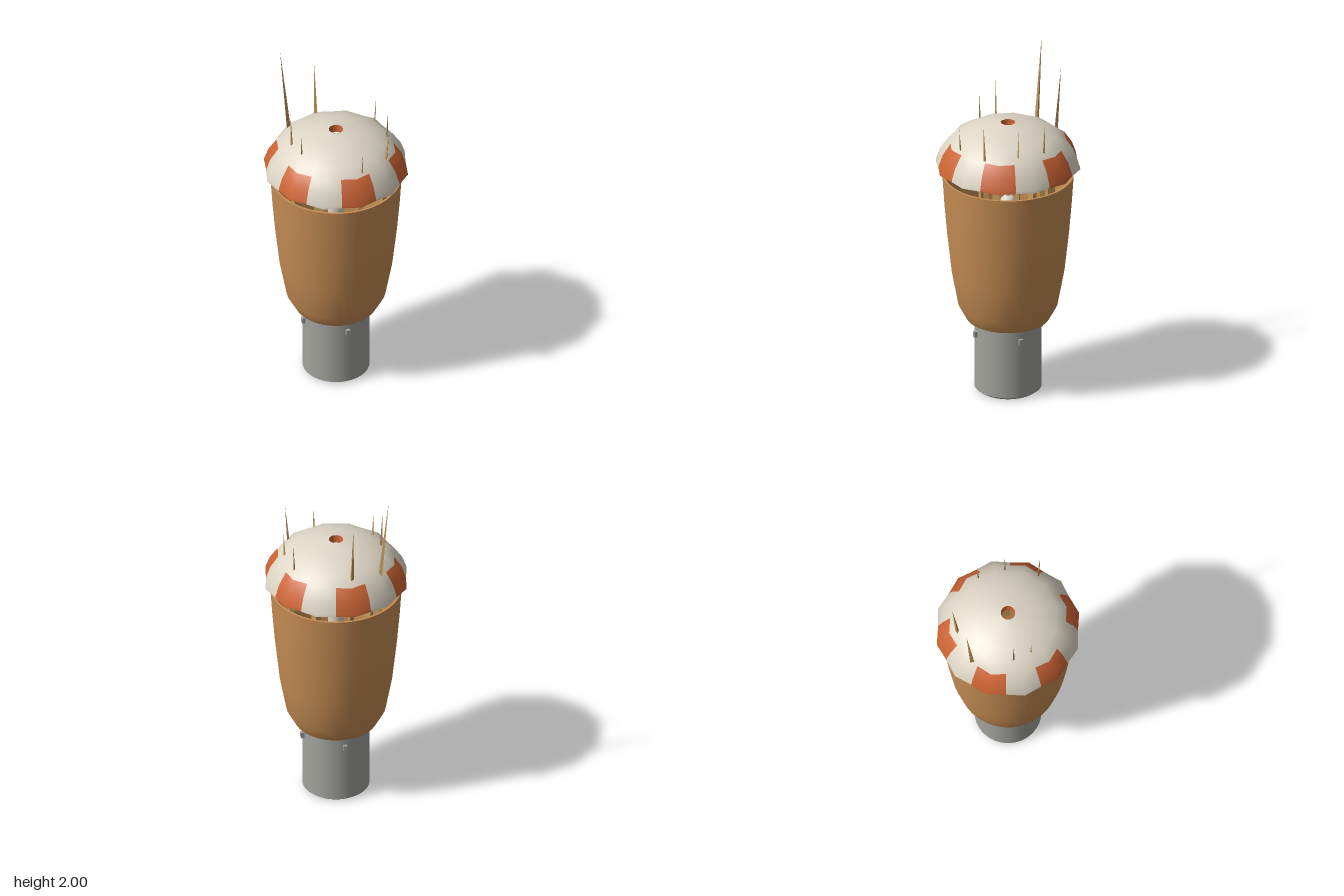
import * as THREE from 'three';

const mat = (name, color, side = THREE.FrontSide) => {
  const m = new THREE.MeshStandardMaterial({ color, side });
  m.name = name;
  return m;
};

export function createModel() {
  const group = new THREE.Group();
  const cream = mat('cream', 0xddd5c5);
  const orange = mat('orange', 0xcc6434, THREE.DoubleSide);
  const brown = mat('brown', 0xc88e54);
  const grey = mat('grey', 0xa2a29d);
  const tan = mat('tan', 0xc0975a);
  tan.flatShading = true;

  const add = (name, geometry, material, parent = group) => {
    const mesh = new THREE.Mesh(geometry, material);
    mesh.name = name;
    parent.add(mesh);
    return mesh;
  };
  const lathe = (points, segments) =>
    new THREE.LatheGeometry(points.map(([r, y]) => new THREE.Vector2(r, y)), segments);

  // Cylindrical foot with a small bevel
  add('foot', lathe([[0, 0.005], [0.165, 0.005]], 40), grey);
  add('footBevel', lathe([[0.165, 0.005], [0.185, 0.02]], 40), grey);
  add('footWall', lathe([[0.185, 0.02], [0.185, 0.46]], 40), grey);

  // Four small pegs around the foot
  for (let i = 0; i < 4; i++) {
    const a = Math.PI / 4 + i * Math.PI / 2;
    const peg = add('peg', new THREE.BoxGeometry(0.022, 0.034, 0.03), grey);
    peg.position.set(Math.sin(a) * 0.187, 0.358, Math.cos(a) * 0.187);
    peg.rotation.y = a;
  }

  // Open bowl: underside, outer wall, rim and inner wall
  const outer = [[0.23, 0.437], [0.275, 0.52], [0.312, 0.72], [0.337, 0.95], [0.352, 1.13], [0.363, 1.3]];
  const inner = outer.map(([r, y]) => [r - 0.012, Math.max(y, 0.45)]).reverse();
  add('bowlUnderside', lathe([[0.18, 0.43], [0.205, 0.43], [0.23, 0.437]], 48), brown);
  add('bowlWall', lathe(outer, 48), brown);
  add('bowlRim', lathe([[0.363, 1.3], [0.351, 1.3]], 48), brown);
  add('bowlInside', lathe([...inner, [0, 0.45]], 48), brown);

  // Twelve-sided dome; odd columns are the corners of the polygon
  const faceted = (points) => {
    const g = lathe(points, 24);
    const p = g.attributes.position;
    for (let i = 0; i < p.count; i++) {
      const column = Math.floor(i / points.length);
      const s = column % 2 ? 1.045 : 1;
      p.setXYZ(i, p.getX(i) * s, p.getY(i), p.getZ(i) * s);
    }
    return g;
  };
  const domeProfile = [[0.386, 1.355], [0.384, 1.37], [0.362, 1.433], [0.319, 1.5], [0.265, 1.542],
    [0.2, 1.576], [0.125, 1.601], [0.039, 1.614]];
  const dome = faceted(domeProfile);
  const perColumn = (domeProfile.length - 1) * 6;
  const bandIndices = 3 * 6;
  for (let i = 0; i < 24; i++) {
    // Alternate orange patches along the lower band
    dome.addGroup(i * perColumn, bandIndices, i % 4 >= 2 ? 1 : 0);
    dome.addGroup(i * perColumn + bandIndices, perColumn - bandIndices, 0);
  }
  add('dome', dome, [cream, orange]);
  const lining = domeProfile.map(([r, y], i) => [i === 7 ? r : r - 0.016, i < 1 ? y : y - 0.012]).reverse();
  add('domeLining', faceted(lining), cream);
  add('domeLip', faceted([[0.37, 1.355], [0.386, 1.355]]), cream);

  // Vent through the top of the dome
  const vent = add('vent', new THREE.CylinderGeometry(0.04, 0.035, 0.045, 12, 1, true), orange);
  vent.position.y = 1.592;

  // Central post with a rounded head, below the vent
  add('post', lathe([[0.045, 0.45], [0.045, 1.125], [0.04, 1.15], [0.024, 1.166], [0, 1.172]], 20), cream);
  const pin = add('postPin', new THREE.BoxGeometry(0.016, 0.008, 0.016), grey);
  pin.position.y = 1.173;

  // Tapered spikes rising from the bowl through the dome: tip x, y, z, lean
  const spikes = [
    [-0.362, 2.0, -0.046, 0.68], [-0.236, 1.885, -0.216, 0.74],
    [-0.203, 1.76, 0.162, 0.87], [-0.111, 1.7, 0.222, 0.87],
    [0.117, 1.685, -0.272, 0.87], [0.238, 1.685, -0.168, 0.87],
    [0.25, 1.64, 0.185, 0.87], [0.327, 1.72, 0.005, 0.77],
  ];
  const up = new THREE.Vector3(0, 1, 0);
  spikes.forEach(([x, y, z, lean], i) => {
    const tip = new THREE.Vector3(x, y, z);
    const base = new THREE.Vector3(x * lean, 0.9, z * lean);
    const dir = tip.clone().sub(base);
    const spike = add('spike', new THREE.ConeGeometry(0.031, dir.length(), 3).rotateY(i * 1.3), tan);
    spike.position.copy(base).add(tip).multiplyScalar(0.5);
    spike.quaternion.setFromUnitVectors(up, dir.normalize());
  });

  return group;
}
